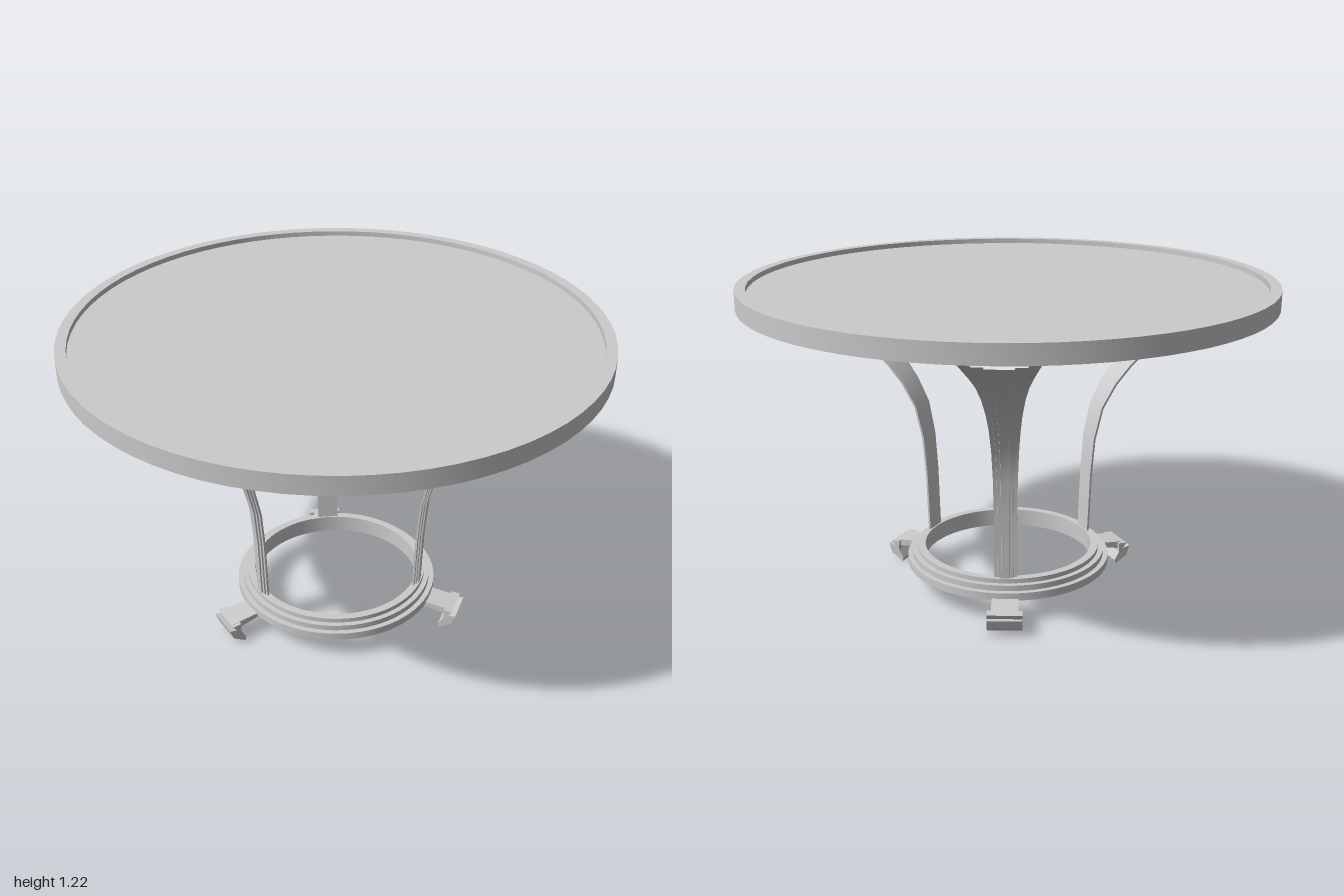
import * as THREE from 'three';
import { toCreasedNormals } from 'three/addons/utils/BufferGeometryUtils.js';

const material = new THREE.MeshStandardMaterial({ color: 0xcccccc });

function part(name, geometry) {
  const mesh = new THREE.Mesh(geometry, material);
  mesh.name = name;
  return mesh;
}

// Closed profile (radius, y), counter-clockwise, turned into a sharp-edged ring
function ring(points) {
  const profile = [...points, points[0]].map(([r, y]) => new THREE.Vector2(r, y));
  return toCreasedNormals(new THREE.LatheGeometry(profile, 72), 0.5);
}

// Extrusion of a (radius, y) side profile, centred across its width, reaching out along +z
function sideProfile(points, width) {
  const shape = new THREE.Shape(points.map(([r, y]) => new THREE.Vector2(r, y)));
  const geometry = new THREE.ExtrudeGeometry(shape, { depth: width, bevelEnabled: false });
  geometry.translate(0, 0, -width / 2);
  return geometry.rotateY(-Math.PI / 2);
}

// Curved ribbon leg: inner line as [radius, y, half width]
const legPath = [
  [0.335, 0.155, 0.042], [0.343, 0.4, 0.043], [0.355, 0.55, 0.045], [0.385, 0.68, 0.05],
  [0.44, 0.775, 0.056], [0.504, 0.85, 0.063], [0.6, 0.935, 0.074], [0.7, 1.005, 0.087],
  [0.82, 1.07, 0.102], [0.985, 1.156, 0.126],
];
// Stepped cross-section: [fraction of half width, thickness outward]
const halfSection = [[-1, 0], [-1, 0.008], [-0.7, 0.008], [-0.68, 0.014], [-0.38, 0.014], [-0.36, 0.02]];
const section = [...halfSection, ...halfSection.map(([u, d]) => [-u, d]).reverse()];

function legGeometry() {
  const positions = [];
  const index = [];
  const n = section.length;
  legPath.forEach(([r, y, w], i) => {
    const a = legPath[Math.max(i - 1, 0)];
    const b = legPath[Math.min(i + 1, legPath.length - 1)];
    const normal = new THREE.Vector2(b[1] - a[1], a[0] - b[0]).normalize();
    for (const [u, d] of section) positions.push(u * w, y + normal.y * d, r + normal.x * d);
    if (i === 0) return;
    for (let j = 0; j < n; j++) {
      const k = (j + 1) % n;
      const p = (i - 1) * n;
      index.push(p + j, p + k, p + n + k, p + j, p + n + k, p + n + j);
    }
  });
  const geometry = new THREE.BufferGeometry();
  geometry.setAttribute('position', new THREE.Float32BufferAttribute(positions, 3));
  geometry.setIndex(index);
  return toCreasedNormals(geometry, 0.5);
}

export function createModel() {
  const model = new THREE.Group();
  model.name = 'roundTable';

  // Table top: rim around a recessed panel
  model.add(part('topRim', ring([[0.96, 1.15], [1, 1.15], [1, 1.22], [0.96, 1.22]])));
  const panel = part('topPanel', new THREE.CylinderGeometry(0.965, 0.965, 0.015, 72));
  panel.position.y = 1.193;
  model.add(panel);

  // Stepped base ring
  model.add(part('baseRing', ring([
    [0.33, 0.09], [0.4, 0.09], [0.4, 0.12], [0.38, 0.12],
    [0.38, 0.142], [0.36, 0.142], [0.36, 0.16], [0.33, 0.16],
  ])));

  // Three legs, each with a foot below it
  const leg = legGeometry();
  const arm = sideProfile([[0.36, 0.088], [0.48, 0.06], [0.505, 0.086], [0.36, 0.102]], 0.1);
  const claw = sideProfile([
    [0.477, 0.05], [0.456, 0.016], [0.461, 0], [0.51, 0.03],
    [0.525, 0.07], [0.495, 0.064], [0.51, 0.085], [0.475, 0.088],
  ], 0.13);
  const front = THREE.MathUtils.degToRad(64.5);
  const places = [['back', Math.PI], ['left', front], ['right', -front]];
  for (const [side, angle] of places) {
    const support = new THREE.Group();
    support.name = `${side}Support`;
    support.rotation.y = angle;
    support.add(part(`${side}Leg`, leg), part(`${side}FootArm`, arm), part(`${side}Foot`, claw));
    model.add(support);
  }
  return model;
}
